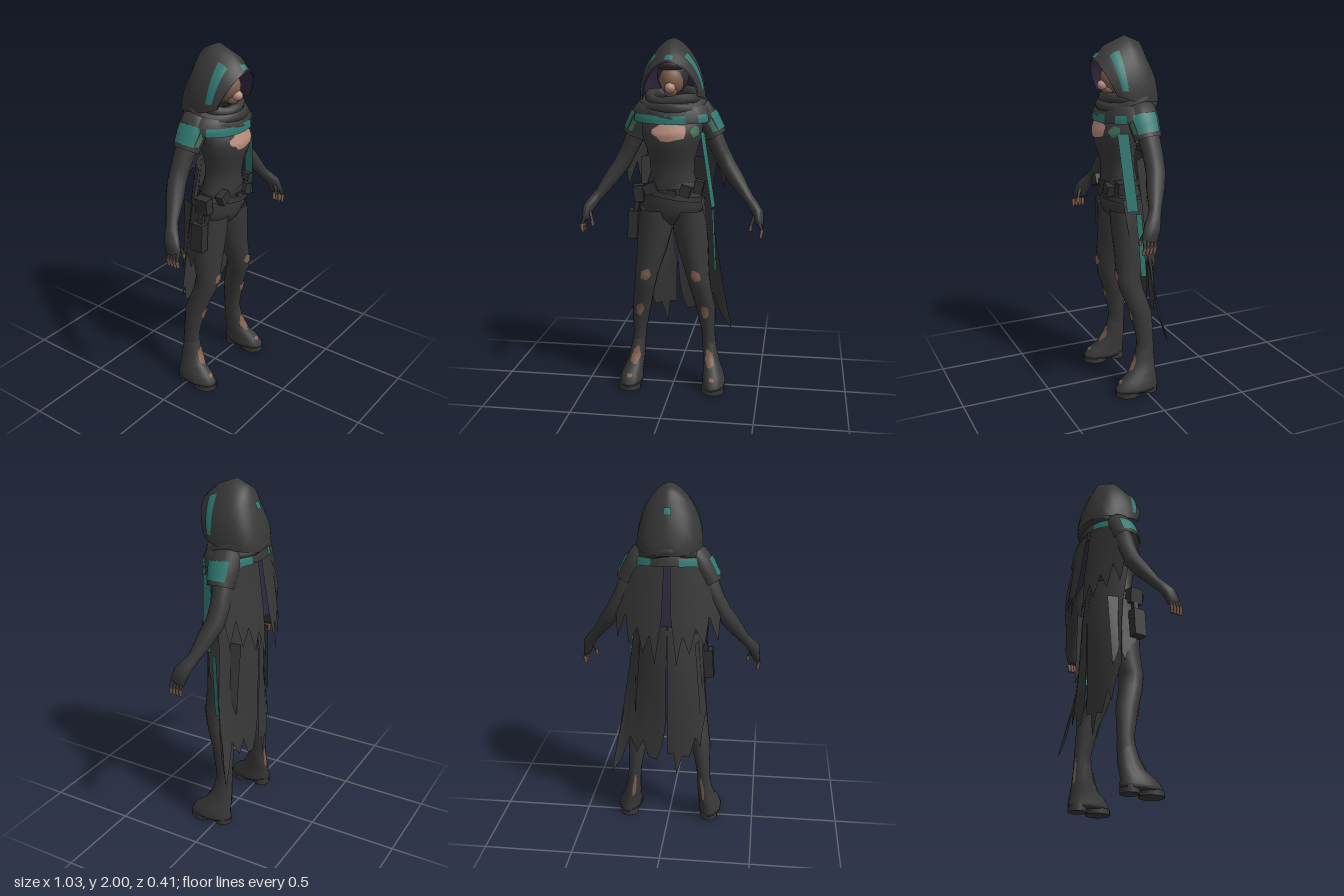
import * as THREE from 'three';
import { mergeVertices } from 'three/addons/utils/BufferGeometryUtils.js';

const V = (x, y, z) => new THREE.Vector3(x, y, z);
const PI = Math.PI;

export function createModel() {
  const root = new THREE.Group();
  const mat = (name, color) => {
    const m = new THREE.MeshStandardMaterial({ color, side: THREE.DoubleSide });
    m.name = name;
    return m;
  };
  const cloth = mat('charcoal cloth', 0x383838), leather = mat('dark leather', 0x303032);
  const teal = mat('teal trim', 0x2f7871), green = mat('green patch', 0x3f705c);
  const purple = mat('purple lining', 0x30283f), skin = mat('worn skin', 0x7f604f);
  const paleSkin = mat('pale skin', 0xb98d7b);

  const add = (name, geo, material, parent = root) => {
    const m = new THREE.Mesh(geo, material);
    m.name = name;
    parent.add(m);
    return m;
  };

  // Grid surface from a function of (u, v); (du x dv) points outward
  const surface = (fn, [u0, u1, nu], [v0, v1, nv]) => {
    const pos = [], idx = [];
    for (let i = 0; i <= nu; i++) for (let j = 0; j <= nv; j++)
      pos.push(...fn(u0 + (u1 - u0) * i / nu, v0 + (v1 - v0) * j / nv).toArray());
    for (let i = 0; i < nu; i++) for (let j = 0; j < nv; j++) {
      const a = i * (nv + 1) + j, b = a + nv + 1;
      idx.push(a, b, a + 1, b, b + 1, a + 1);
    }
    let g = new THREE.BufferGeometry();
    g.setAttribute('position', new THREE.Float32BufferAttribute(pos, 3));
    g.setIndex(idx);
    g = mergeVertices(g, 1e-5);
    g.computeVertexNormals();
    return g;
  };
  const sample = (rows, u) => {
    const i = Math.min(Math.floor(u), rows.length - 2), t = u - i;
    return rows[i].map((a, k) => a + (rows[i + 1][k] - a) * t);
  };

  // Elliptical sections [x, y, z, rx, rz], top to bottom; v = 0 is the front
  const tube = (rows, tilt = false, grow = 0) => (u, v) => {
    const [x, y, z, rx, rz] = sample(rows, u);
    let A = V(1, 0, 0), B = V(0, 0, 1);
    if (tilt) {
      const i = Math.round(u), p = rows[Math.max(i - 1, 0)], q = rows[Math.min(i + 1, rows.length - 1)];
      const d = V(q[0] - p[0], q[1] - p[1], q[2] - p[2]).normalize();
      A = V(0, 0, 1).cross(d).normalize();
      B = d.clone().cross(A);
    }
    return V(x, y, z).addScaledVector(A, (rx + grow) * Math.sin(v)).addScaledVector(B, (rz + grow) * Math.cos(v));
  };
  const loft = (name, rows, material, tilt = false, parent = root, n = 14) =>
    add(name, surface(tube(rows, tilt), [0, rows.length - 1, rows.length - 1], [0, 2 * PI, n]), material, parent);
  const patch = (name, rows, material, u0, u1, v0, v1, parent = root, tilt = false) =>
    add(name, surface(tube(rows, tilt, 0.005), [u0, u1, 4], [v0, v1, 6]), material, parent);
  // Ragged oval laid on a loft
  const tear = (name, rows, material, u0, u1, v0, v1, parent = root) => {
    const f = tube(rows, false, 0.005);
    add(name, surface((r, a) => {
      const k = r * (1 + 0.1 * Math.sin(5 * a)) / 2;
      return f((u0 + u1) / 2 - (u1 - u0) * k * Math.cos(a), (v0 + v1) / 2 - (v1 - v0) * k * Math.sin(a));
    }, [0, 1, 3], [0, 2 * PI, 14]), material, parent);
  };
  const box = (name, size, pos, material, rot = 0) => {
    const m = add(name, new THREE.BoxGeometry(...size), material);
    m.position.set(...pos);
    m.rotation.z = rot;
    return m;
  };

  // Torso
  const torso = [[0, 1.66, 0.03, 0.06, 0.06], [0, 1.6, 0.045, 0.15, 0.09], [0, 1.55, 0.06, 0.17, 0.11],
    [0, 1.49, 0.072, 0.168, 0.12], [0, 1.42, 0.07, 0.148, 0.113], [0, 1.35, 0.062, 0.126, 0.095],
    [0, 1.27, 0.055, 0.122, 0.09], [0, 1.18, 0.05, 0.15, 0.1], [0, 1.08, 0.04, 0.178, 0.108],
    [0, 1.02, 0.037, 0.13, 0.09], [0, 0.975, 0.035, 0.03, 0.05], [0, 0.97, 0.035, 0, 0]];
  loft('torso', torso, cloth, false, root, 20);
  tear('chestSkin', torso, paleSkin, 1.95, 3.5, -0.58, 0.58);
  tear('chestPatch', torso, green, 2.2, 3.2, 0.72, 1.2);

  // Limbs, built for the left side and mirrored
  const leg = [[0.09, 1.06, 0.04, 0.09, 0.1], [0.1, 0.95, 0.035, 0.1, 0.1], [0.12, 0.82, 0.038, 0.085, 0.09],
    [0.148, 0.68, 0.06, 0.066, 0.07], [0.162, 0.6, 0.045, 0.06, 0.068], [0.188, 0.47, 0.0, 0.055, 0.064],
    [0.203, 0.31, -0.02, 0.038, 0.05], [0.212, 0.21, -0.015, 0.04, 0.056]];
  const boot = [[0.205, 0.28, -0.018, 0.037, 0.05], [0.215, 0.19, -0.01, 0.044, 0.062],
    [0.225, 0.13, 0.005, 0.05, 0.08], [0.238, 0.085, 0.035, 0.06, 0.112], [0.243, 0.045, 0.048, 0.066, 0.13],
    [0.243, 0.025, 0.05, 0.066, 0.13], [0.243, 0.025, 0.05, 0, 0]];
  const arm = [[0.16, 1.58, -0.02, 0.05, 0.055], [0.22, 1.47, -0.03, 0.054, 0.06], [0.262, 1.38, -0.035, 0.048, 0.056],
    [0.303, 1.3, -0.03, 0.048, 0.054], [0.352, 1.23, -0.005, 0.044, 0.05], [0.42, 1.135, 0.03, 0.03, 0.034],
    [0.449, 1.1, 0.05, 0.03, 0.038], [0.478, 1.06, 0.075, 0.032, 0.046], [0.491, 1.0, 0.095, 0.022, 0.045],
    [0.492, 0.985, 0.098, 0, 0]];
  const sleeve = [[0.1, 1.65, 0, 0.03, 0.05], [0.15, 1.62, -0.01, 0.062, 0.085], [0.185, 1.56, -0.015, 0.067, 0.088],
    [0.21, 1.51, -0.018, 0.065, 0.08], [0.23, 1.47, -0.02, 0.066, 0.076]];
  for (const s of [1, -1]) {
    const side = new THREE.Group();
    side.name = s > 0 ? 'leftLimbs' : 'rightLimbs';
    side.scale.x = s;
    root.add(side);
    loft('leg', leg, cloth, false, side);
    loft('boot', boot, cloth, false, side);
    const heel = add('bootHeel', new THREE.CylinderGeometry(0.052, 0.052, 0.04, 14), cloth, side);
    heel.position.set(0.24, 0.02, -0.026);
    const sole = add('bootSole', new THREE.CylinderGeometry(0.065, 0.065, 0.03, 14), cloth, side);
    sole.scale.z = 1.1;
    sole.position.set(0.243, 0.015, 0.107);
    tear('thighTear', leg, skin, 2.68, 3.25, -0.45, 0.35, side);
    tear('shinTear', leg, skin, 4.75, 5.3, -0.4, 0.4, side);
    tear('ankleTear', boot, skin, 0.55, 2.0, -0.6, 0.5, side);
    tear('heelTear', boot, skin, 0.0, 1.9, -3.1, -2.65, side);
    tear('toeTear', boot, skin, 2.8, 3.25, -0.25, 0.25, side);
    loft('arm', arm, cloth, true, side);
    loft('sleeve', sleeve, cloth, true, side);
    patch('sleeveBand', sleeve, teal, 1.6, 3.5, 0.6, 2.2, side, true);
    patch('sleevePatch', sleeve, green, 2.0, 3.4, 0.1, 0.5, side, true);
    // Fingers with bare tips, and a thumb
    for (let i = 0; i < 5; i++) {
      const thumb = i === 4, z = thumb ? 0.125 : 0.065 + i * 0.02;
      const a = thumb ? V(0.465, 1.05, 0.1) : V(0.49, 1.01, z);
      const b = thumb ? V(0.445, 0.99, z) : V(0.506, 0.97, z + 0.004);
      const c = thumb ? V(0.442, 0.965, z) : V(0.5, 0.93, z + 0.008);
      for (const [p, q, m, part] of [[a, b, cloth, 'finger'], [b, c, skin, 'fingertip']]) {
        const f = add(part, new THREE.CylinderGeometry(0.008, 0.011, p.distanceTo(q) + 0.004, 6), m, side);
        f.position.lerpVectors(p, q, 0.5);
        f.quaternion.setFromUnitVectors(V(0, 1, 0), q.clone().sub(p).normalize());
      }
    }
  }

  // Head and face
  const ball = (name, r, p, m) => {
    const b = add(name, new THREE.SphereGeometry(1, 18, 14), m);
    b.scale.set(...r);
    b.position.set(...p);
  };
  ball('hair', [0.088, 0.1, 0.105], [0, 1.8, 0.03], leather);
  ball('fringe', [0.075, 0.035, 0.07], [0, 1.858, 0.085], leather);
  ball('face', [0.068, 0.085, 0.085], [0, 1.78, 0.07], skin);
  ball('muzzle', [0.03, 0.03, 0.04], [0, 1.74, 0.135], paleSkin);
  ball('chin', [0.036, 0.03, 0.035], [0, 1.718, 0.115], skin);

  // Hood: arches [half width, base y, base z, apex y, apex z] from rim to nape
  const arches = [[0.15, 1.695, 0.12, 1.885, 0.2], [0.172, 1.685, 0.085, 1.955, 0.125], [0.18, 1.67, 0.03, 2.0, 0.015],
    [0.172, 1.66, -0.05, 1.965, -0.065], [0.14, 1.65, -0.12, 1.84, -0.122], [0.07, 1.64, -0.16, 1.72, -0.158],
    [0, 1.64, -0.162, 1.66, -0.162]];
  const hood = grow => (u, v) => {
    const [w, yb, zb, ya, za] = sample(arches, u), s = Math.sin(v), c = Math.cos(v);
    return V((w + grow) * Math.sign(c) * Math.abs(c) ** 1.25, yb + (ya - yb + grow) * s,
      zb + (za - zb) * s - (u > 3 ? grow : 0));
  };
  add('hood', surface(hood(0), [0, 6, 12], [0, PI, 24]), cloth);
  add('hoodLining', surface(hood(-0.008), [0, 5, 10], [0, PI, 24]), purple);
  for (const f of [v => v, v => PI - v])
    add('hoodStripe', surface(hood(0.005), [0.75, 1.35, 4], [f(0.15), f(1.0), 8]), teal);
  add('hoodFrontMark', surface(hood(0.005), [0.02, 0.35, 2], [PI / 2 - 0.2, PI / 2 + 0.2, 4]), teal);
  add('hoodBackMark', surface(hood(0.006), [3.65, 3.95, 2], [PI / 2 - 0.2, PI / 2 + 0.2, 4]), teal);

  // Shoulder mantle with trim, dipping at the front, and the wound scarf
  const mantle = [[0, 0.08, 0.01, 0.13, 0.12], [0, 0.045, 0.012, 0.195, 0.145], [0, 0, 0.018, 0.222, 0.16],
    [0, -0.035, 0.02, 0.225, 0.165]];
  const shoulders = new THREE.Group();
  shoulders.name = 'shoulderMantle';
  shoulders.position.y = 1.6;
  shoulders.rotation.x = 0.1;
  root.add(shoulders);
  loft('mantle', mantle, cloth, false, shoulders, 24);
  for (const [a, b] of [[-1.1, 0.4], [0.75, 1.1], [1.3, 2.1], [-2.1, -1.3], [2.3, 2.75], [-2.85, -2.35]])
    patch('mantleTrim', mantle, teal, 1.8, 3, a, b, shoulders);
  [[1.685, 0.13, 0.12, 0.03, -0.02], [1.655, 0.152, 0.132, 0.034, -0.035], [1.62, 0.16, 0.145, 0.03, -0.035]].forEach(
    ([y, rx, rz, r, dip], k) => {
      const pts = [];
      for (let i = 0; i < 16; i++) {
        const a = i / 16 * 2 * PI;
        pts.push(V(rx * Math.sin(a), y + dip * Math.cos(a) + 0.009 * Math.sin(3 * a + k * 2), 0.008 + rz * Math.cos(a)));
      }
      add('scarfFold', new THREE.TubeGeometry(new THREE.CatmullRomCurve3(pts, true), 40, r, 8, true), cloth);
    });

  // Tattered cloth: straight top edge, ragged bottom points, bent by a z rule
  const rag = (name, x0, x1, top, ends, zf, material = cloth) => {
    const n = ends.length - 1;
    add(name, surface((u, v) => {
      const [bx, by] = sample(ends, v), tx = x0 + (x1 - x0) * v / n;
      const x = tx + (bx - tx) * u, y = top + (by - top) * u;
      return V(x, y, zf(x, y));
    }, [0, 1, 6], [0, n, n]), material);
  };
  const upperZ = (x, y) => -0.125 - (1.6 - y) * 0.15 + x * x * 1.1;
  const lowerZ = (x, y) => -0.13 + Math.max(0, y - 1.05) * 0.12 + x * x * (0.2 + 3 * Math.max(0, (y - 0.3) / 0.9));
  const upperEnds = [[0.025, 1.3], [0.06, 1.04], [0.09, 1.2], [0.13, 1.1], [0.16, 1.24], [0.21, 1.14],
    [0.23, 1.3], [0.28, 1.16], [0.29, 1.3], [0.26, 1.42]];
  rag('upperCapeLeft', 0.015, 0.19, 1.6, upperEnds, upperZ);
  rag('upperCapeRight', -0.015, -0.19, 1.6, upperEnds.map(([x, y]) => [-x, y]), upperZ);
  rag('lowerCapeLeft', 0, 0.18, 1.35, [[0.01, 0.62], [0.03, 0.5], [0.06, 0.42], [0.11, 0.43], [0.14, 0.53],
    [0.18, 0.45], [0.22, 0.54], [0.27, 0.4], [0.33, 0.31], [0.27, 0.65]], lowerZ);
  rag('lowerCapeRight', 0, -0.18, 1.35, [[0, 0.46], [-0.04, 0.46], [-0.055, 0.33], [-0.09, 0.45], [-0.13, 0.44],
    [-0.16, 0.56], [-0.19, 0.5], [-0.2, 0.6], [-0.22, 0.72], [-0.2, 0.85]], lowerZ);
  rag('capeLining', -0.15, 0.15, 1.58, [[-0.19, 1.2], [0, 1.25], [0.19, 1.2]], (x, y) => upperZ(x, y) + 0.02, purple);
  rag('skirtLining', -0.04, 0.04, 1.05, [[-0.02, 0.8], [0, 0.65], [0.02, 0.8]], (x, y) => lowerZ(x, y) + 0.008, purple);

  // Hip panels beside the thighs
  for (const s of [1, -1]) {
    const ends = [[0.08, 0.95], [0.05, 0.86], [0.02, 0.84], [-0.02, 0.74], [-0.05, 0.82], [-0.09, 0.7]];
    add('hipPanel', surface((u, v) => {
      const [bz, by] = sample(ends, v), z = 0.1 - 0.04 * v + (bz - 0.1 + 0.04 * v) * u;
      return V(s * (0.175 + 0.03 * u - 1.6 * (z - 0.02) ** 2), 1.13 + (by - 1.13) * u, z);
    }, [0, 1, 4], [0, 5, 5]), cloth);
  }

  // Hanging teal ribbons on the left side
  const ribbon = (name, a, b, w) => add(name, surface((u, v) =>
    a.clone().lerp(b, u).add(V(-0.25 * v, 0, v)), [0, 1, 3], [-w, w, 2]), teal);
  ribbon('chestRibbon', V(0.172, 1.5, 0.1), V(0.232, 1.08, 0.07), 0.03);
  ribbon('hipRibbon', V(0.225, 1.06, 0.03), V(0.24, 0.7, 0.005), 0.015);

  // Belts, pouches and holster
  for (const [y, tilt, r] of [[1.2, 0.1, 0.15], [1.15, -0.16, 0.166]]) {
    const belt = add('belt', new THREE.CylinderGeometry(r, r + 0.008, 0.03, 24, 1, true), leather);
    belt.scale.z = 0.7;
    belt.position.set(0, y, 0.048);
    belt.rotation.z = tilt;
  }
  box('buckle', [0.05, 0.04, 0.015], [0.01, 1.165, 0.158], leather, -0.15);
  box('frontPouch', [0.06, 0.06, 0.045], [0.085, 1.18, 0.145], leather, -0.3);
  box('sidePouch', [0.05, 0.07, 0.06], [0.155, 1.2, 0.1], leather, -0.2);
  box('frontPouch', [0.07, 0.06, 0.045], [-0.11, 1.19, 0.135], leather, 0.4);
  box('hipPouch', [0.055, 0.09, 0.08], [-0.185, 1.15, 0.06], leather, 0.1);
  box('holster', [0.055, 0.16, 0.075], [-0.22, 0.97, 0.055], leather, -0.06);
  box('holsterStrap', [0.025, 0.12, 0.03], [-0.2, 1.08, 0.055], leather, -0.15);
  return root;
}
